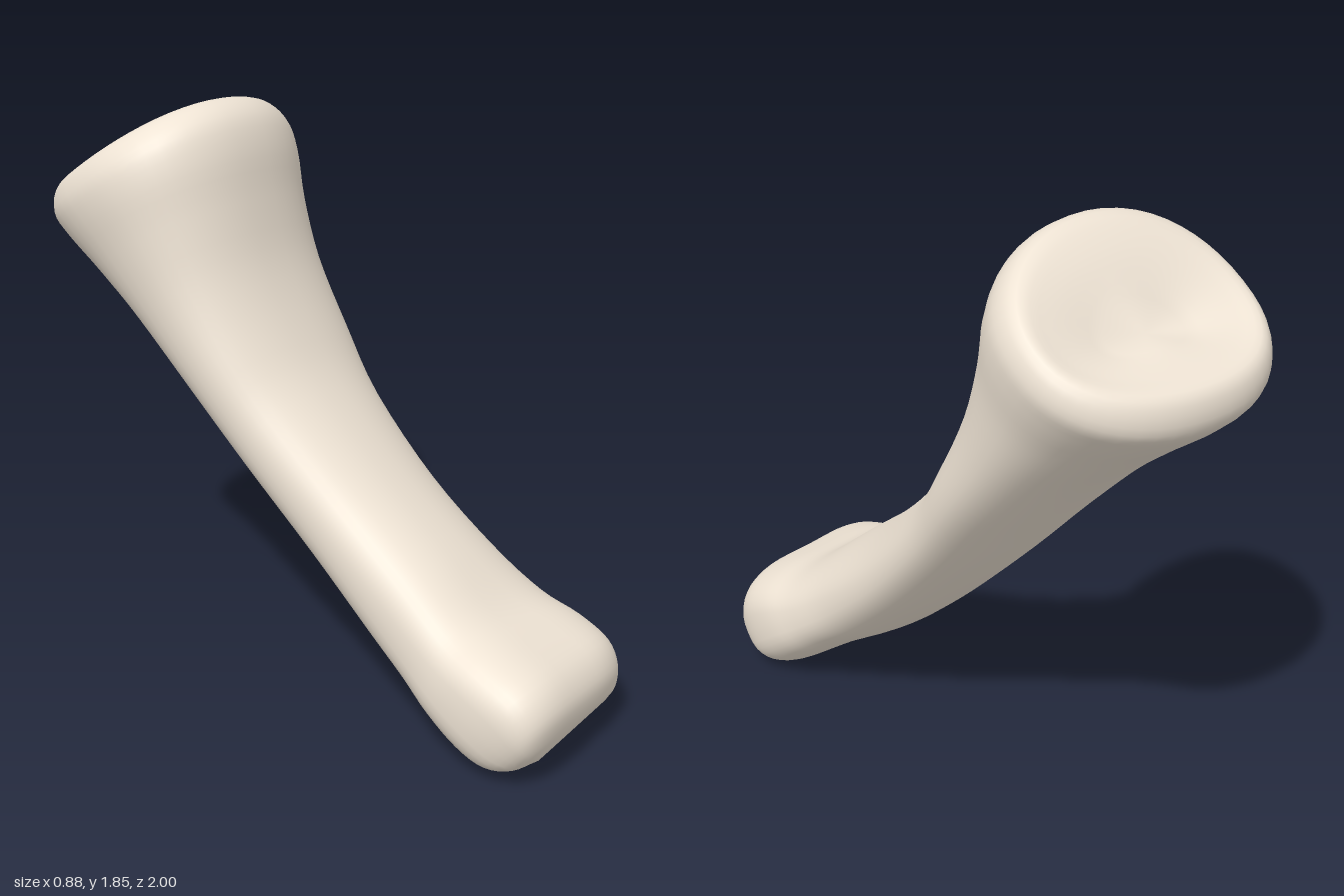
import * as THREE from 'three';

// Stations from the lower joint to the upper joint:
// [upper z, upper y, min x, lower z, lower y, max x, squareness, slant]
const STATIONS = [
  [0.95, 0.135, -0.12, 0.905, 0.075, 0.31, 2.4, 0.20],
  [0.975, 0.19, -0.20, 0.84, 0.03, 0.37, 2.7, 0.20],
  [0.98, 0.27, -0.245, 0.75, 0.01, 0.405, 2.9, 0.20],
  [0.93, 0.345, -0.265, 0.66, 0.045, 0.42, 3.0, 0.20],
  [0.81, 0.395, -0.26, 0.55, 0.115, 0.415, 2.9, 0.20],
  [0.67, 0.445, -0.24, 0.44, 0.19, 0.39, 2.6, 0.22],
  [0.50, 0.57, -0.235, 0.30, 0.28, 0.36, 2.35, 0.26],
  [0.25, 0.755, -0.24, 0.08, 0.46, 0.345, 2.2, 0.28],
  [0.00, 0.99, -0.28, -0.17, 0.695, 0.35, 2.15, 0.28],
  [-0.125, 1.17, -0.325, -0.40, 0.925, 0.375, 2.15, 0.25],
  [-0.22, 1.37, -0.365, -0.62, 1.13, 0.385, 2.2, 0.22],
  [-0.27, 1.57, -0.405, -0.79, 1.26, 0.40, 2.2, 0.18],
  [-0.30, 1.73, -0.438, -0.92, 1.35, 0.425, 2.2, 0.15],
  [-0.35, 1.83, -0.44, -0.99, 1.42, 0.43, 2.2, 0.14],
  [-0.44, 1.865, -0.40, -0.98, 1.515, 0.395, 2.15, 0.12],
  [-0.54, 1.80, -0.31, -0.90, 1.55, 0.31, 2.1, 0.08],
  [-0.64, 1.69, -0.14, -0.80, 1.585, 0.14, 2.0, 0.05],
];
const SIDES = 48;
const STEPS = 4; // rings between stations

// Smooth curve through up to three neighbouring columns of the station list
const columns = (n) => new THREE.CatmullRomCurve3(
  STATIONS.map((s) => new THREE.Vector3(...s.slice(n, n + 3))), false, 'catmullrom', 0.5);

const signedPow = (v, p) => Math.sign(v) * Math.abs(v) ** p;

function boneGeometry() {
  const upper = columns(0);
  const lower = columns(3);
  const shape = columns(6);
  const rings = (STATIONS.length - 1) * STEPS + 1;
  const positions = [];
  const indices = [];
  const centres = [];

  for (let i = 0; i < rings; i++) {
    const k = i / (rings - 1);
    const u = upper.getPoint(k);
    const l = lower.getPoint(k);
    const { x: power, y: slant } = shape.getPoint(k);
    const groove = k < 0.375 ? 0.1 * Math.sin(Math.PI * k / 0.375) : 0;
    const yaw = 0.03 * (1 - THREE.MathUtils.smoothstep(k, 0.08, 0.35)); // one knuckle further forward
    const dip = 0.035 * THREE.MathUtils.smoothstep(k, 0.72, 0.88); // saddle of the upper joint
    const mid = [(u.z + l.z) / 2, (u.y + l.y) / 2, (u.x + l.x) / 2];
    const half = [(l.z - u.z) / 2, (u.y - l.y) / 2, (u.x - l.x) / 2];
    centres.push([mid[0], mid[1] - dip, mid[2]]);
    for (let j = 0; j < SIDES; j++) {
      const a = (j / SIDES) * Math.PI * 2;
      const s = signedPow(Math.cos(a), 2 / power);
      let t = signedPow(Math.sin(a), 2 / power);
      const sag = dip * (1 - t * t);
      // shallow channel between the two knuckles, deeper underneath
      t *= 1 - groove * (t < 0 ? 1.5 : 0.5) * Math.exp(-s * s * 5);
      // the upper face slopes to the left, the lower face hardly does
      t -= slant * s * (0.6 + 0.4 * t);
      positions.push(
        mid[0] + half[0] * s,
        mid[1] + half[1] * t - sag,
        mid[2] + half[2] * t - yaw * s);
    }
  }

  for (let i = 0; i < rings - 1; i++) {
    for (let j = 0; j < SIDES; j++) {
      const a = i * SIDES + j;
      const b = i * SIDES + (j + 1) % SIDES;
      indices.push(a, a + SIDES, b, b, a + SIDES, b + SIDES);
    }
  }

  // Close both ends
  const first = rings * SIDES;
  const top = (rings - 1) * SIDES;
  positions.push(...centres[0], ...centres[rings - 1]);
  for (let j = 0; j < SIDES; j++) {
    const n = (j + 1) % SIDES;
    indices.push(first, j, n, first + 1, top + n, top + j);
  }

  const geometry = new THREE.BufferGeometry();
  geometry.setAttribute('position', new THREE.Float32BufferAttribute(positions, 3));
  geometry.setIndex(indices);
  geometry.computeVertexNormals();
  return geometry;
}

export function createModel() {
  const group = new THREE.Group();
  group.name = 'fingerBone';
  const bone = new THREE.Mesh(boneGeometry(), new THREE.MeshStandardMaterial({ color: 0xeee3d4 }));
  bone.name = 'boneShaftAndJoints';
  // Rest the bone on the ground, centred
  const box = new THREE.Box3().setFromObject(bone);
  const centre = box.getCenter(new THREE.Vector3());
  bone.position.set(-centre.x, -box.min.y, -centre.z);
  group.add(bone);
  return group;
}
